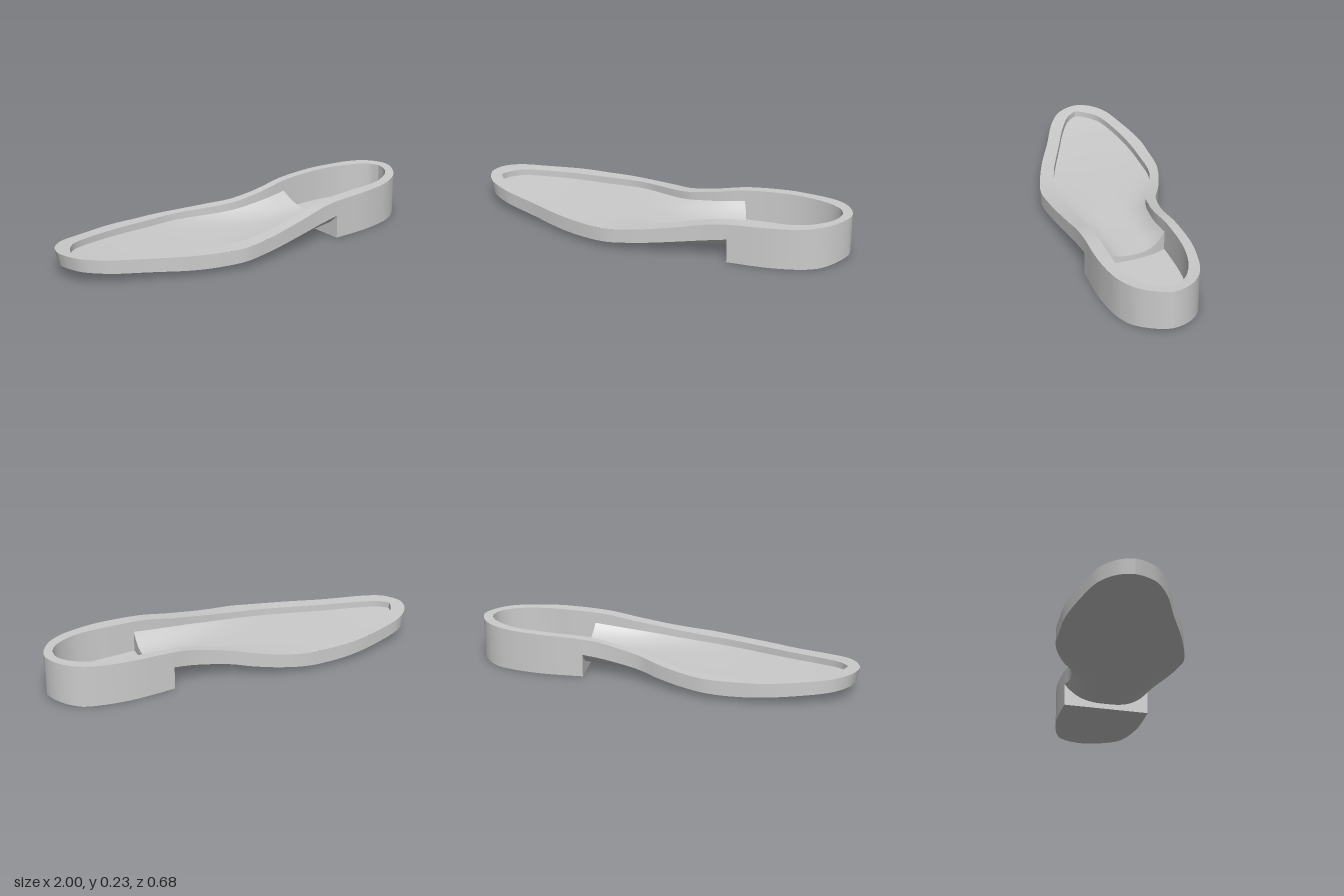
import * as THREE from 'three';
import { ParametricGeometry } from 'three/addons/geometries/ParametricGeometry.js';

const mix = THREE.MathUtils.lerp;

// Smooth curve through [x, value] points, looked up at any x
function edge(points) {
  const curve = new THREE.CatmullRomCurve3(points.map(([x, v]) => new THREE.Vector3(x, 0, v)));
  const samples = curve.getPoints(160);
  return (x) => {
    const i = samples.findIndex((p) => p.x >= x);
    if (i === 0) return samples[0].z;
    if (i < 0) return samples[samples.length - 1].z;
    const a = samples[i - 1], b = samples[i];
    return mix(a.z, b.z, (x - a.x) / (b.x - a.x));
  };
}

// An outline is a back edge and a front edge that meet at toe and heel
function outline(x0, x1, backPoints, frontPoints) {
  const back = edge(backPoints), front = edge(frontPoints);
  const mid = (x0 + x1) / 2, half = (x1 - x0) / 2;
  const xAt = (a) => mid - half * Math.cos(a);
  return {
    back, front, xAt,
    angle: (x) => Math.acos((mid - x) / half),
    // a = 0 toe, PI heel, 2 PI toe again along the front edge
    at: (a) => [xAt(a), (a < Math.PI ? back : front)(xAt(a))],
  };
}

const outer = outline(-1, 1,
  [[-1, -0.085], [-0.995, -0.12], [-0.97, -0.175], [-0.9, -0.238], [-0.77, -0.285], [-0.56, -0.333], [-0.42, -0.338],
    [-0.27, -0.333], [-0.14, -0.3], [0, -0.245], [0.09, -0.2], [0.18, -0.18], [0.3, -0.17], [0.42, -0.18],
    [0.57, -0.187], [0.66, -0.185], [0.8, -0.163], [0.88, -0.136], [0.935, -0.1], [0.975, -0.05], [0.995, 0], [1, 0.03]],
  [[-1, -0.085], [-0.99, -0.045], [-0.95, 0.025], [-0.85, 0.093], [-0.66, 0.172], [-0.47, 0.255], [-0.27, 0.32],
    [-0.18, 0.338], [-0.08, 0.334], [0.17, 0.31], [0.3, 0.296], [0.435, 0.288], [0.57, 0.286], [0.67, 0.278],
    [0.8, 0.25], [0.865, 0.22], [0.92, 0.18], [0.97, 0.115], [0.995, 0.06], [1, 0.03]]);

const inner = outline(-0.94, 0.952,
  [[-0.94, -0.07], [-0.92, -0.115], [-0.855, -0.185], [-0.69, -0.24], [-0.5, -0.27], [-0.395, -0.275],
    [-0.245, -0.275], [-0.155, -0.255], [0.09, -0.147], [0.195, -0.13], [0.3, -0.125], [0.43, -0.135],
    [0.57, -0.14], [0.685, -0.135], [0.8, -0.11], [0.89, -0.065], [0.935, -0.02], [0.952, 0.025]],
  [[-0.94, -0.07], [-0.9, -0.02], [-0.8, 0.04], [-0.61, 0.12], [-0.4, 0.205], [-0.26, 0.243], [-0.1, 0.257],
    [0.09, 0.25], [0.245, 0.233], [0.43, 0.222], [0.57, 0.217], [0.73, 0.21], [0.81, 0.19], [0.9, 0.135],
    [0.94, 0.08], [0.952, 0.025]]);

// Heights along the length
const topY = edge([[-1, 0.138], [-0.8, 0.12], [-0.6, 0.11], [-0.4, 0.105], [-0.2, 0.109], [0, 0.13],
  [0.2, 0.165], [0.38, 0.2], [0.6, 0.213], [0.8, 0.217], [1, 0.227]]);
const floorEdgeY = edge([[-0.94, 0.1], [-0.8, 0.086], [-0.6, 0.075], [-0.4, 0.068], [-0.2, 0.072], [0, 0.09],
  [0.2, 0.118], [0.46, 0.15]]);
const floorMidY = edge([[-0.94, 0.1], [-0.8, 0.086], [-0.6, 0.075], [-0.4, 0.068], [-0.2, 0.066], [0, 0.066],
  [0.2, 0.065], [0.46, 0.07]]);
const baseEdgeY = edge([[-1, 0.067], [-0.8, 0.05], [-0.6, 0.038], [-0.4, 0.029], [-0.2, 0.036], [0, 0.055],
  [0.2, 0.085], [0.44, 0.125]]);
const baseMidY = edge([[-1, 0.067], [-0.8, 0.05], [-0.6, 0.038], [-0.4, 0.029], [-0.2, 0.03], [0, 0.027],
  [0.2, 0.02], [0.44, 0.03]]);
const heelY = (x) => 0.018 * Math.max(0, (x - 0.88) / 0.12);
const CAVITY_Y = 0.04;

// The shank sags in the middle; t = 0 back edge, 1 front edge
const sag = (mid, rim, t) => mix(mid, rim, Math.abs(2 * t - 1) ** 3);
const floorY = (x, t) => sag(floorMidY(x), floorEdgeY(x), t);
const underY = (x, t) => sag(baseMidY(x), baseEdgeY(x), t);

// Heel front and cavity step, as x across the width
const heelX = (t) => 0.405 + 0.03 * t;
const stepX = (t) => 0.455 - 0.045 * (1 - t) ** 4 - 0.01 * t ** 4;

// The toe wall leans in towards its base
const lean = (x) => x + 0.015 * Math.max(0, (-0.8 - x) / 0.2);

export function createModel() {
  const group = new THREE.Group();
  const material = new THREE.MeshStandardMaterial({ color: 0xcccccc });

  // fn(u, v) returns [x, y, z]; faces point along du x dv
  function surface(name, nu, nv, fn) {
    const geometry = new ParametricGeometry((u, v, p) => p.set(...fn(u, v)), nu, nv);
    geometry.computeVertexNormals();
    const mesh = new THREE.Mesh(geometry, material);
    mesh.name = name;
    group.add(mesh);
  }

  // Stretch of wall along an outline, between two heights
  function wall(name, line, a0, a1, from, to, leanAmount = 0) {
    surface(name, 96, 1, (u, v) => {
      const [x, z] = line.at(mix(a0, a1, u));
      return [mix(x, lean(x), v * leanAmount), mix(from(x), to(x), v), z];
    });
  }

  // Sheet between the two edges of an outline, from x0(t) to x1(t)
  function sheet(name, line, x0, x1, up, height, place = (x) => x) {
    surface(name, 96, 24, (u, v) => {
      const t = up ? 1 - v : v;
      const x = line.xAt(mix(line.angle(x0(t)), line.angle(x1(t)), u));
      return [place(x), height(x, t), mix(line.back(x), line.front(x), t)];
    });
  }

  const TURN = 2 * Math.PI;
  const heelBack = outer.angle(heelX(0)), heelFront = TURN - outer.angle(heelX(1));
  const stepBack = inner.angle(stepX(0)), stepFront = TURN - inner.angle(stepX(1));

  // Forepart and shank
  wall('soleOuterWallBack', outer, 0, heelBack, topY, baseEdgeY, 1);
  wall('soleOuterWallFront', outer, heelFront, TURN, topY, baseEdgeY, 1);
  wall('soleInnerWallBack', inner, 0, stepBack, floorEdgeY, topY);
  wall('soleInnerWallFront', inner, stepFront, TURN, floorEdgeY, topY);
  sheet('insoleFloor', inner, () => -0.94, stepX, true, floorY);
  sheet('soleUnderside', outer, () => -1, heelX, false, underY, lean);

  // Rim running all the way round
  surface('rimTop', 192, 1, (u, v) => {
    const [xi, zi] = inner.at(u * TURN), [xo, zo] = outer.at(u * TURN);
    return [mix(xi, xo, v), mix(topY(xi), topY(xo), v), mix(zi, zo, v)];
  });

  // Hollow heel
  wall('heelOuterWall', outer, heelBack, heelFront, topY, heelY);
  wall('heelInnerWall', inner, stepBack, stepFront, () => CAVITY_Y, topY);
  sheet('heelUnderside', outer, heelX, () => 1, false, heelY);
  sheet('heelCavityFloor', inner, stepX, () => 0.952, true, () => CAVITY_Y);
  surface('heelFront', 24, 1, (t, v) => {
    const x = heelX(t);
    return [x, v * underY(x, t), mix(outer.back(x), outer.front(x), t)];
  });
  surface('heelCavityStep', 24, 1, (u, v) => {
    const t = 1 - u, x = stepX(t);
    return [x, mix(CAVITY_Y, floorY(x, t), v), mix(inner.back(x), inner.front(x), t)];
  });

  return group;
}
